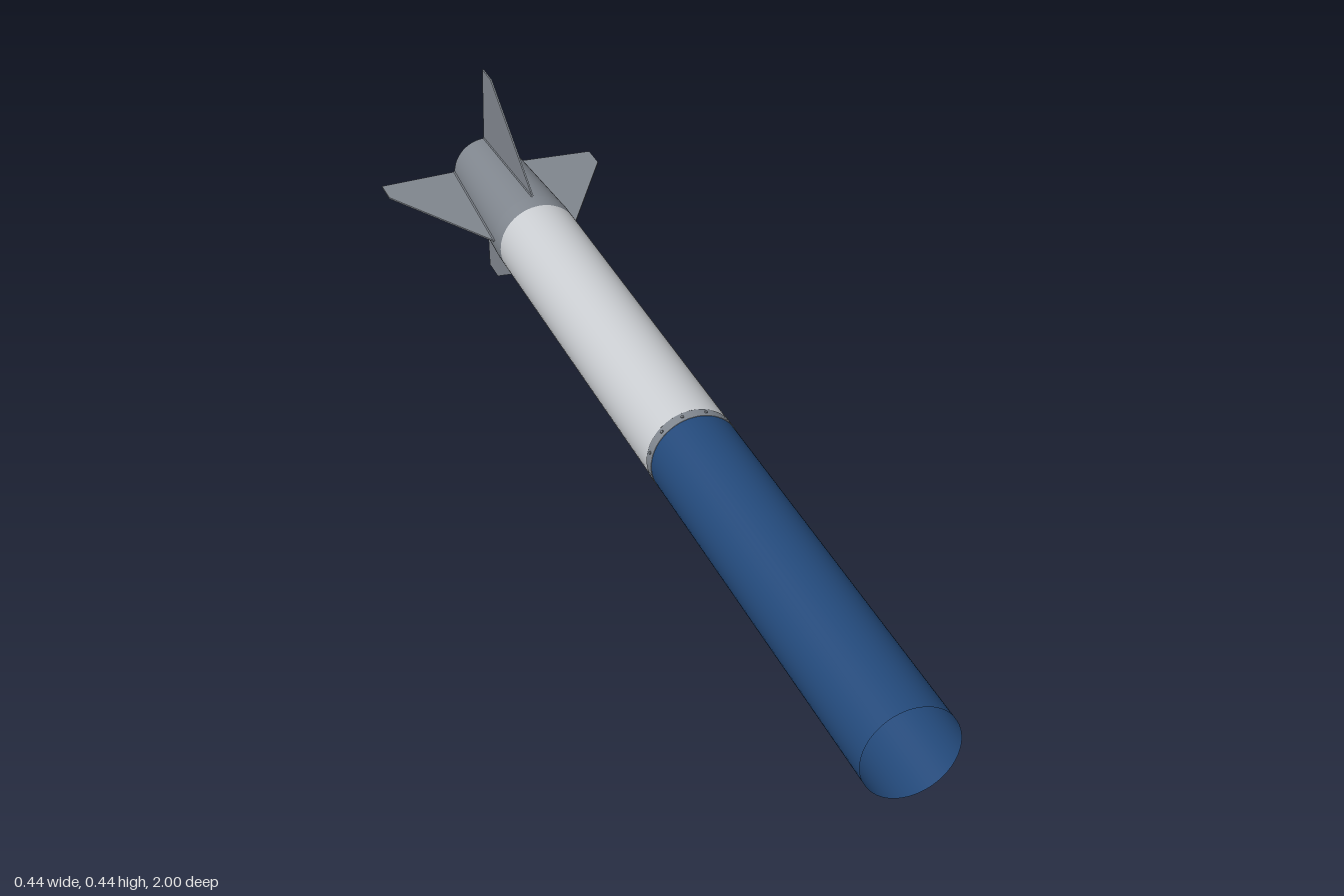
import * as THREE from 'three';

const AXIS_Y = 0.223;
const R = 0.081;      // body radius
const TAIL_R = 0.066; // radius at the open tail end

const makeMaterial = (name, color) =>
  new THREE.MeshStandardMaterial({ name, color, side: THREE.DoubleSide });

export function createModel() {
  const blue = makeMaterial('navyBlue', 0x23497a);
  const white = makeMaterial('lightGrey', 0xcacdd1);
  const grey = makeMaterial('metalGrey', 0x80868e);

  const model = new THREE.Group();
  model.name = 'rocketBody';
  const body = new THREE.Group();
  body.name = 'airframe';
  body.position.y = AXIS_Y;
  model.add(body);

  const add = (name, geometry, material, parent = body) => {
    const mesh = new THREE.Mesh(geometry, material);
    mesh.name = name;
    parent.add(mesh);
    return mesh;
  };

  // Open tube along z, from the back end to the front end
  const tube = (name, material, zBack, zFront, rBack, rFront) => {
    const geometry = new THREE.CylinderGeometry(rFront, rBack, zFront - zBack, 64, 1, true);
    geometry.rotateX(Math.PI / 2);
    return add(name, geometry.translate(0, 0, (zBack + zFront) / 2), material);
  };

  // Solid disc or flat-faced pin along z
  const pin = (r, length) => new THREE.CylinderGeometry(r, r, length, 12).rotateX(Math.PI / 2);

  // Body sections
  tube('forwardTube', blue, 0.165, 1, R, R);
  tube('mainTube', white, -0.65, 0.15, R, R);
  tube('tailSleeve', grey, -0.69, -0.65, R, R);
  tube('tailCone', grey, -1, -0.69, TAIL_R, R);

  // Coupling ring between the two tubes
  tube('couplingRing', grey, 0.147, 0.167, R + 0.0008, R + 0.0008);
  for (const z of [0.147, 0.167]) {
    const lip = new THREE.TorusGeometry(R, 0.001, 6, 64).translate(0, 0, z);
    add('couplingLip', lip, grey);
  }
  for (let i = 0; i < 12; i++) {
    const a = (i + 0.5) * Math.PI / 6;
    const bolt = new THREE.CylinderGeometry(0.003, 0.003, 0.004, 8).translate(0, R + 0.0005, 0);
    add('couplingBolt', bolt.rotateZ(a).translate(0, 0, 0.157), grey);
  }

  // Bulkhead: disc with four openings that leave a cross-shaped brace
  const disc = new THREE.Shape().absarc(0, 0, R - 0.001, 0, Math.PI * 2);
  for (let i = 0; i < 4; i++) {
    const a = i * Math.PI / 2;
    const points = [
      [0, 0.018], [0.033, 0.051], [0.029, 0.0535], [-0.029, 0.0535], [-0.033, 0.051],
    ].map(([x, y]) => new THREE.Vector2(x, y).rotateAround(new THREE.Vector2(), a));
    disc.holes.push(new THREE.Path(points));
  }
  // Screw holes in the corners and along the brace
  for (let i = 0; i < 4; i++) {
    const a = Math.PI / 4 + i * Math.PI / 2;
    const hole = new THREE.Path();
    hole.absarc(Math.cos(a) * 0.042, Math.sin(a) * 0.042, 0.003, 0, Math.PI * 2, true);
    disc.holes.push(hole);
  }
  const plate = new THREE.ExtrudeGeometry(disc, {
    depth: 0.008, bevelEnabled: false, curveSegments: 32,
  }).translate(0, 0, 0.153);
  add('bulkhead', plate, grey);

  // Square frame, corner screws and edge screws on the bulkhead
  for (let i = 0; i < 4; i++) {
    const side = new THREE.Group();
    side.name = 'bulkheadSide';
    side.rotation.z = i * Math.PI / 2;
    body.add(side);
    add('frameBar', new THREE.BoxGeometry(0.112, 0.003, 0.014), grey, side)
      .position.set(0, 0.0565, 0.159);
    add('cornerScrew', pin(0.005, 0.004), grey, side).position.set(0.046, 0.046, 0.163);
    for (const x of [-0.029, 0.029]) {
      add('edgeScrew', pin(0.005, 0.004), grey, side).position.set(x, 0.069, 0.163);
    }
  }

  // Four tail fins; the shape's x runs along the axis and y outwards
  const outline = new THREE.Shape([
    [-0.685, R - 0.001], [-0.937, 0.222], [-0.99, 0.222], [-1, TAIL_R - 0.001],
  ].map(([z, r]) => new THREE.Vector2(z, r)));
  const finGeometry = new THREE.ExtrudeGeometry(outline, { depth: 0.003, bevelEnabled: false })
    .translate(0, 0, -0.0015)
    .rotateY(-Math.PI / 2);
  for (let i = 0; i < 4; i++) {
    const fin = add('tailFin', finGeometry, grey);
    fin.rotation.z = i * Math.PI / 2;

    // Narrow fillet where the fin meets the tail cone
    const root = new THREE.LineCurve3(
      new THREE.Vector3(0, R, -0.69), new THREE.Vector3(0, TAIL_R, -1));
    add('finRoot', new THREE.TubeGeometry(root, 1, 0.003, 6), grey, fin);
  }

  return model;
}
